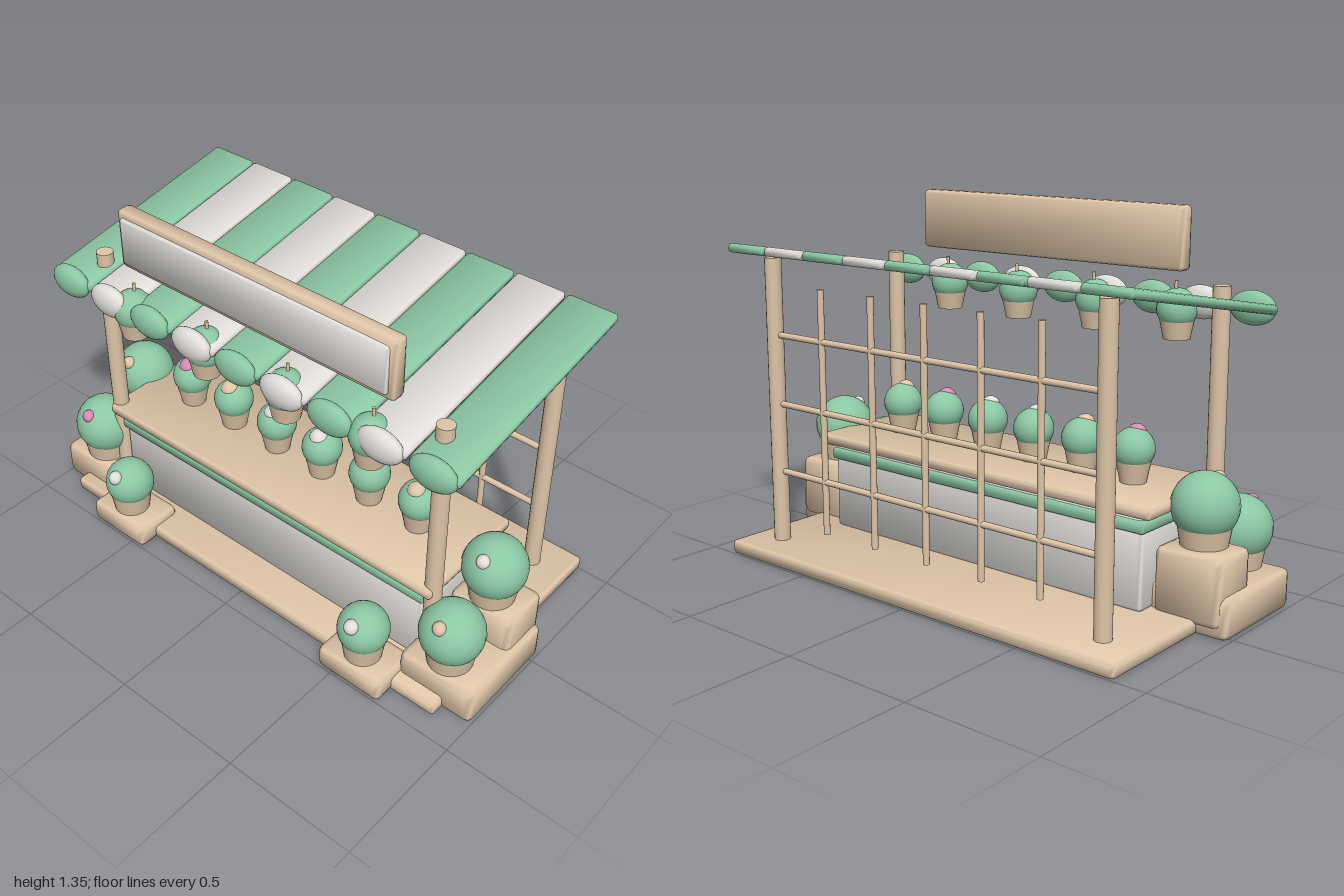
import * as THREE from 'three';
import { RoundedBoxGeometry } from 'three/addons/geometries/RoundedBoxGeometry.js';

const flat = (name, color) => {
  const m = new THREE.MeshStandardMaterial({ color });
  m.name = name;
  return m;
};

export function createModel() {
  const wood = flat('warm tan', 0xdec5a8);
  const green = flat('leaf green', 0x8cc8a4);
  const white = flat('soft white', 0xe2dfdb);
  const pink = flat('blossom pink', 0xd88ab6);
  const model = new THREE.Group();
  model.name = 'flowerStall';

  const add = (name, geometry, material, x, y, z, parent = model) => {
    const mesh = new THREE.Mesh(geometry, material);
    mesh.name = name;
    mesh.position.set(x, y, z);
    parent.add(mesh);
    return mesh;
  };

  // Chamfered box whose normals lean outwards at the corners for soft shading
  const softBox = (w, h, d, bevel) => {
    const g = new RoundedBoxGeometry(w, h, d, 1, bevel);
    const p = g.attributes.position, n = g.attributes.normal;
    const v = new THREE.Vector3();
    for (let i = 0; i < p.count; i++) {
      v.fromBufferAttribute(n, i);
      if (Math.max(Math.abs(v.x), Math.abs(v.y), Math.abs(v.z)) < 0.99) continue;
      const pos = [p.getX(i), p.getY(i), p.getZ(i)];
      const out = v.toArray().map((c, k) => (Math.abs(c) > 0.5 ? c : 0.39 * Math.sign(pos[k])));
      v.fromArray(out).normalize();
      n.setXYZ(i, v.x, v.y, v.z);
    }
    return g;
  };

  // Box given by its extents
  const block = (name, material, [x0, x1], [y0, y1], [z0, z1], bevel = 0.01) =>
    add(name, softBox(x1 - x0, y1 - y0, z1 - z0, bevel), material,
      (x0 + x1) / 2, (y0 + y1) / 2, (z0 + z1) / 2);

  const pole = (name, r, y0, y1, x, z, parent = model) =>
    add(name, new THREE.CylinderGeometry(r, r, y1 - y0, 16), wood, x, (y0 + y1) / 2, z, parent);

  const ball = (name, r, material, x, y, z, parent) =>
    add(name, new THREE.SphereGeometry(r, 24, 16), material, x, y, z, parent);

  // Tapered pot with a round bush, its base at the given point
  const plant = (name, x, y, z, { top, bottom, height, r, centre }) => {
    const g = new THREE.Group();
    g.name = name;
    g.position.set(x, y, z);
    add('pot', new THREE.CylinderGeometry(top, bottom, height, 24), wood, 0, height / 2, 0, g);
    ball('bush', r, green, 0, centre, 0, g);
    model.add(g);
    return g;
  };

  // Base and counter
  block('base', wood, [-0.885, 0.885], [0.005, 0.06], [-0.505, 0.425], 0.015);
  block('counterBody', white, [-0.715, 0.715], [0.055, 0.392], [-0.115, 0.285], 0.015);
  block('counterTrim', green, [-0.725, 0.725], [0.328, 0.373], [-0.126, 0.297]);
  block('counterTop', wood, [-0.765, 0.765], [0.388, 0.43], [-0.15, 0.317], 0.012);

  // Corner posts
  for (const x of [-0.75, 0.75]) {
    pole('frontPost', 0.031, 0.05, 1.1, x, 0.273);
    pole('backPost', 0.031, 0.05, 1.135, x, -0.37);
  }

  // Back trellis
  for (let i = -2; i <= 2; i++) pole('trellisUpright', 0.012, 0.13, 1.04, i * 0.25, -0.37);
  for (const y of [0.33, 0.59, 0.85]) {
    const rail = add('trellisRail', new THREE.CylinderGeometry(0.012, 0.012, 1.5, 12), wood, 0, y, -0.37);
    rail.rotation.z = Math.PI / 2;
  }

  // Sloping awning of alternating strips with rounded front flaps
  const strip = softBox(0.19, 0.034, 0.872, 0.012);
  const flap = new THREE.SphereGeometry(1, 24, 16);
  for (let i = 0; i < 9; i++) {
    const x = (i - 4) * 0.2;
    const material = i % 2 ? white : green;
    add('awningStrip', strip, material, x, 1.092, -0.031).rotation.x = 0.178;
    add('awningFlap', flap, material, x, 1.015, 0.395).scale.set(0.088, 0.06, 0.036);
  }

  // Sign board
  block('signFrame', wood, [-0.595, 0.595], [1.13, 1.353], [0.27, 0.33], 0.015);
  block('signPanel', white, [-0.573, 0.573], [1.153, 1.33], [0.31, 0.343], 0.01);

  // Counter plants
  const toppers = [pink, wood, white, white, pink, wood];
  toppers.forEach((material, i) => {
    const g = plant('counterPlant', -0.543 + i * 0.2165, 0.428, 0.083,
      { top: 0.064, bottom: 0.046, height: 0.09, r: 0.074, centre: 0.118 });
    ball('topper', 0.035, material, 0, 0.167, 0.017, g);
  });

  // Hanging plants
  for (const x of [-0.53, -0.18, 0.18, 0.53]) {
    const g = plant('hangingPlant', x, 0.885, 0.35,
      { top: 0.064, bottom: 0.048, height: 0.08, r: 0.073, centre: 0.105 });
    pole('hanger', 0.006, 0.1, 0.205, 0, -0.01, g);
  }

  // Side planters and front planters, mirrored
  const large = { top: 0.098, bottom: 0.08, height: 0.105, r: 0.115, centre: 0.135 };
  const small = { top: 0.08, bottom: 0.066, height: 0.085, r: 0.092, centre: 0.125 };
  const span = (s, a, b) => (s > 0 ? [a, b] : [-b, -a]);
  for (const s of [-1, 1]) {
    block('lowPlanter', wood, span(s, 0.695, 0.998), [0.003, 0.148], [-0.045, 0.375], 0.025);
    block('tallPlanter', wood, span(s, 0.725, 0.975), [0.04, 0.28], [-0.06, 0.14], 0.025);
    block('frontPlanter', wood, span(s, 0.44, 0.708), [0.003, 0.093], [0.31, 0.5], 0.02);

    const low = plant('lowPlant', s * 0.845, 0.147, 0.285, large);
    ball('blossom', 0.025, s > 0 ? wood : pink, 0, 0.21, 0.078, low);
    const tall = plant('tallPlant', s * 0.845, 0.278, 0.057, large);
    ball('blossom', 0.025, s > 0 ? white : wood, 0, 0.21, 0.078, tall);
    const front = plant('frontPlant', s * 0.575, 0.09, 0.415, small);
    ball('blossom', 0.027, white, 0, 0.18, 0.066, front);
  }
  return model;
}
